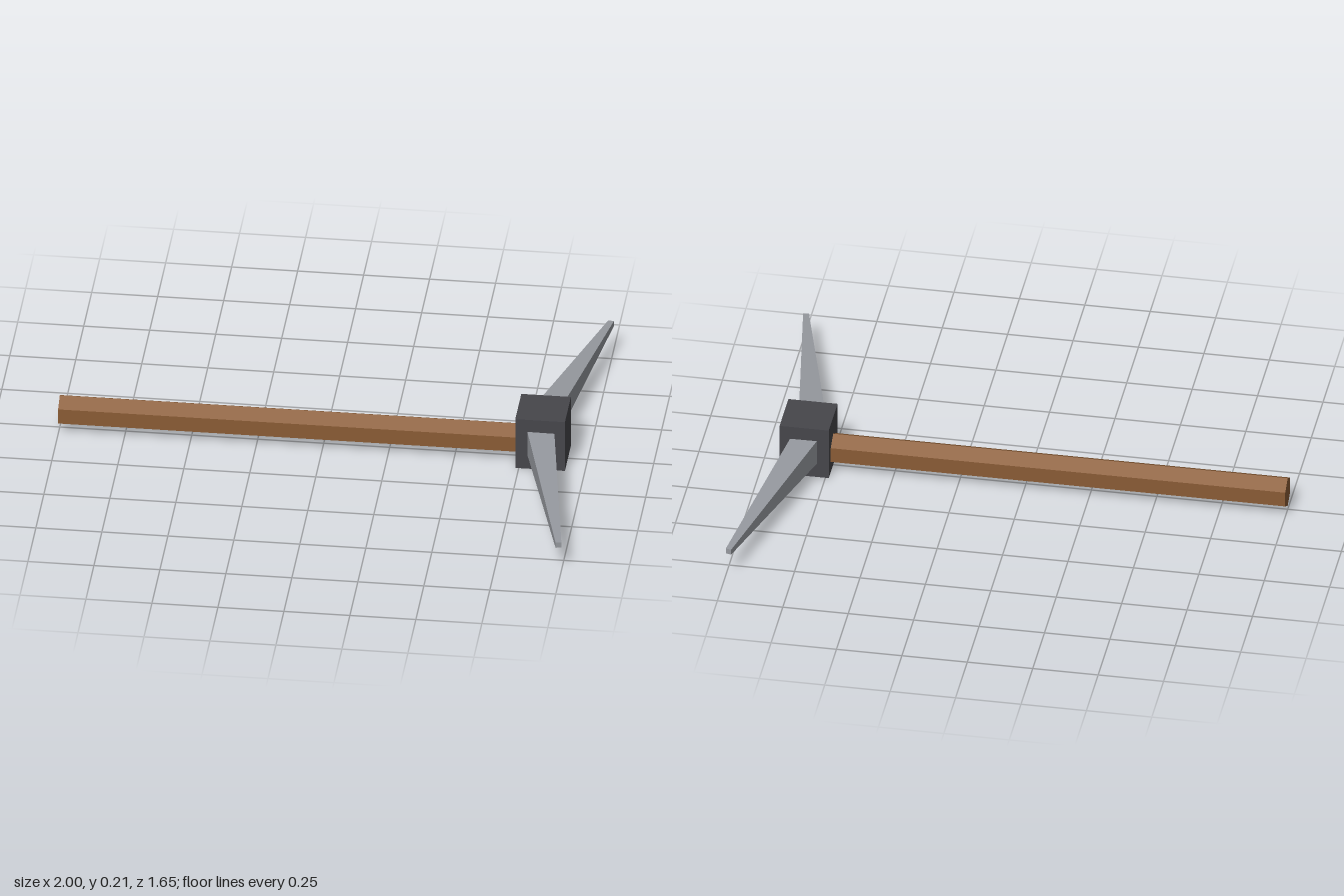
import * as THREE from 'three';

const mat = (name, color) => new THREE.MeshStandardMaterial({ name, color, flatShading: true });

export function createModel() {
  const group = new THREE.Group();
  const wood = mat('wood', 0x8a5c35);
  const darkIron = mat('dark iron', 0x46464b);
  const steel = mat('steel', 0x96999f);

  const add = (name, geometry, material) => {
    const mesh = new THREE.Mesh(geometry, material);
    mesh.name = name;
    group.add(mesh);
    return mesh;
  };

  // Six-sided handle lying along x, one ridge facing up
  const handle = new THREE.CylinderGeometry(0.0615, 0.0615, 1.8, 6);
  handle.rotateY(Math.PI / 2).rotateZ(-Math.PI / 2);
  handle.computeBoundingBox();
  // Turn so that the taller, pointed direction is vertical
  if (handle.boundingBox.max.y < 0.06) handle.rotateX(Math.PI / 6);
  add('handle', handle, wood).position.set(-0.1, 0.0775, 0);

  // Block joining the handle and the spikes
  add('headBlock', new THREE.BoxGeometry(0.188, 0.213, 0.188), darkIron).position.set(0.831, 0.1065, 0);

  // Square tapering spikes, swept away from the handle on both sides
  for (const side of [1, -1]) {
    const base = new THREE.Vector3(0.821, 0.11, 0.03 * side);
    const tip = new THREE.Vector3(0.989, 0.11, 0.825 * side);
    const axis = tip.clone().sub(base);
    const geometry = new THREE.CylinderGeometry(0.011 * Math.SQRT2, 0.0535 * Math.SQRT2, axis.length(), 4);
    geometry.rotateY(Math.PI / 4).rotateX(Math.PI / 2).rotateY(Math.atan2(axis.x, axis.z));
    add(side > 0 ? 'frontSpike' : 'backSpike', geometry, steel)
      .position.copy(base).add(tip).multiplyScalar(0.5);
  }
  return group;
}
